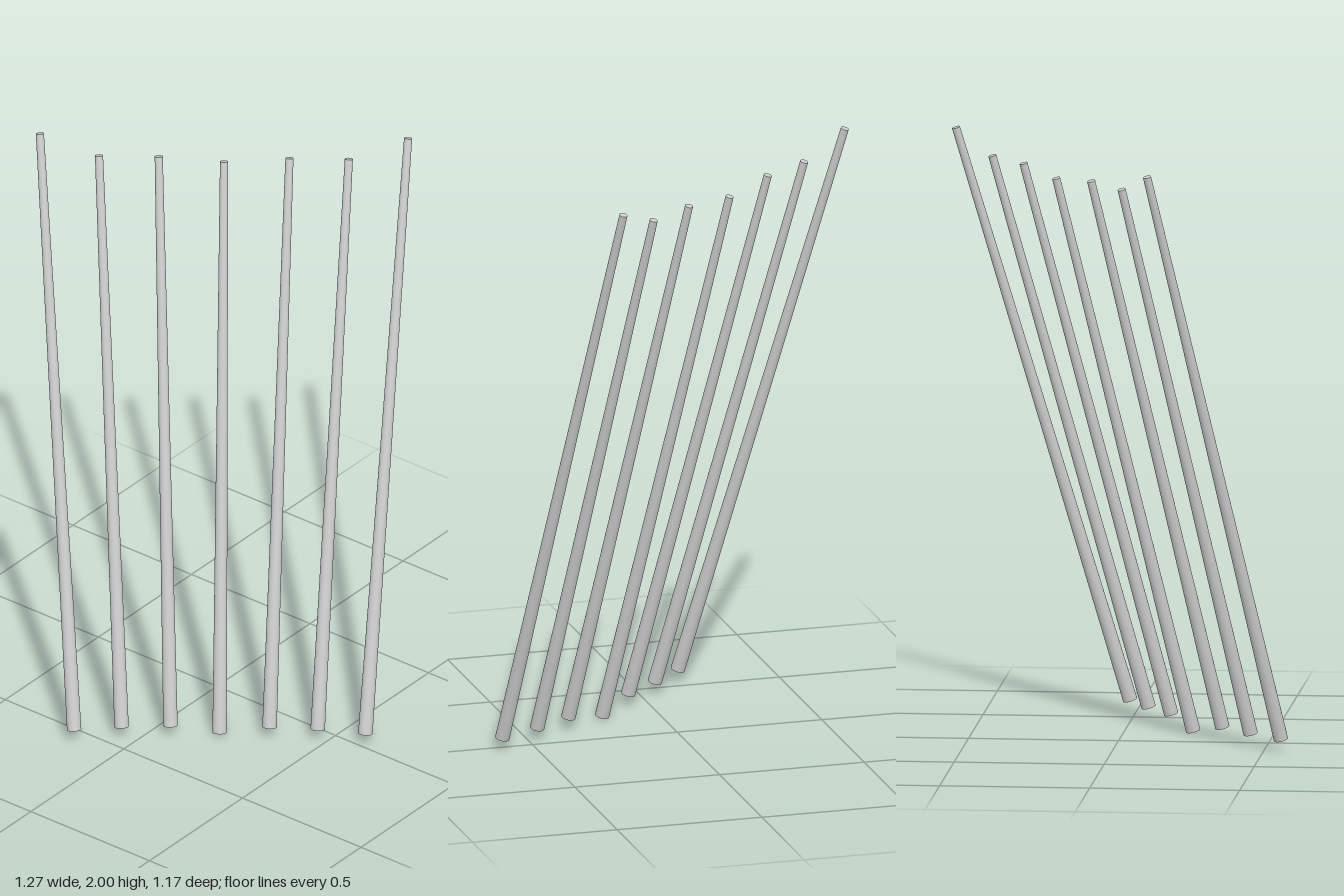
import * as THREE from 'three';

// Foot and tip centres of each spindle in the fan
const SPINDLES = [
  [[-0.165, 0.041, 0.557], [-0.625, 1.997, 0.155]],
  [[-0.053, 0.041, 0.445], [-0.455, 1.927, 0.054]],
  [[0.07, 0.041, 0.339], [-0.295, 1.928, -0.063]],
  [[0.192, 0.008, 0.23], [-0.124, 1.908, -0.196]],
  [[0.334, 0.041, 0.143], [0.053, 1.928, -0.322]],
  [[0.468, 0.041, 0.055], [0.21, 1.927, -0.441]],
  [[0.61, 0.041, -0.02], [0.354, 1.997, -0.576]],
];
const FOOT_RADIUS = 0.024;
const TIP_RADIUS = 0.0135;
const UP = new THREE.Vector3(0, 1, 0);

// Tapered round rod standing between two points
function makeSpindle(foot, tip, material) {
  const a = new THREE.Vector3(...foot);
  const b = new THREE.Vector3(...tip);
  const axis = b.clone().sub(a);
  const rod = new THREE.Mesh(
    new THREE.CylinderGeometry(TIP_RADIUS, FOOT_RADIUS, axis.length(), 32),
    material
  );
  rod.position.copy(a).add(b).multiplyScalar(0.5);
  rod.quaternion.setFromUnitVectors(UP, axis.normalize());
  return rod;
}

export function createModel() {
  const group = new THREE.Group();
  group.name = 'spindles';
  const material = new THREE.MeshStandardMaterial({ color: 0xcccccc });
  SPINDLES.forEach(([foot, tip], i) => {
    const rod = makeSpindle(foot, tip, material);
    rod.name = `spindle${i + 1}`;
    group.add(rod);
  });
  return group;
}
